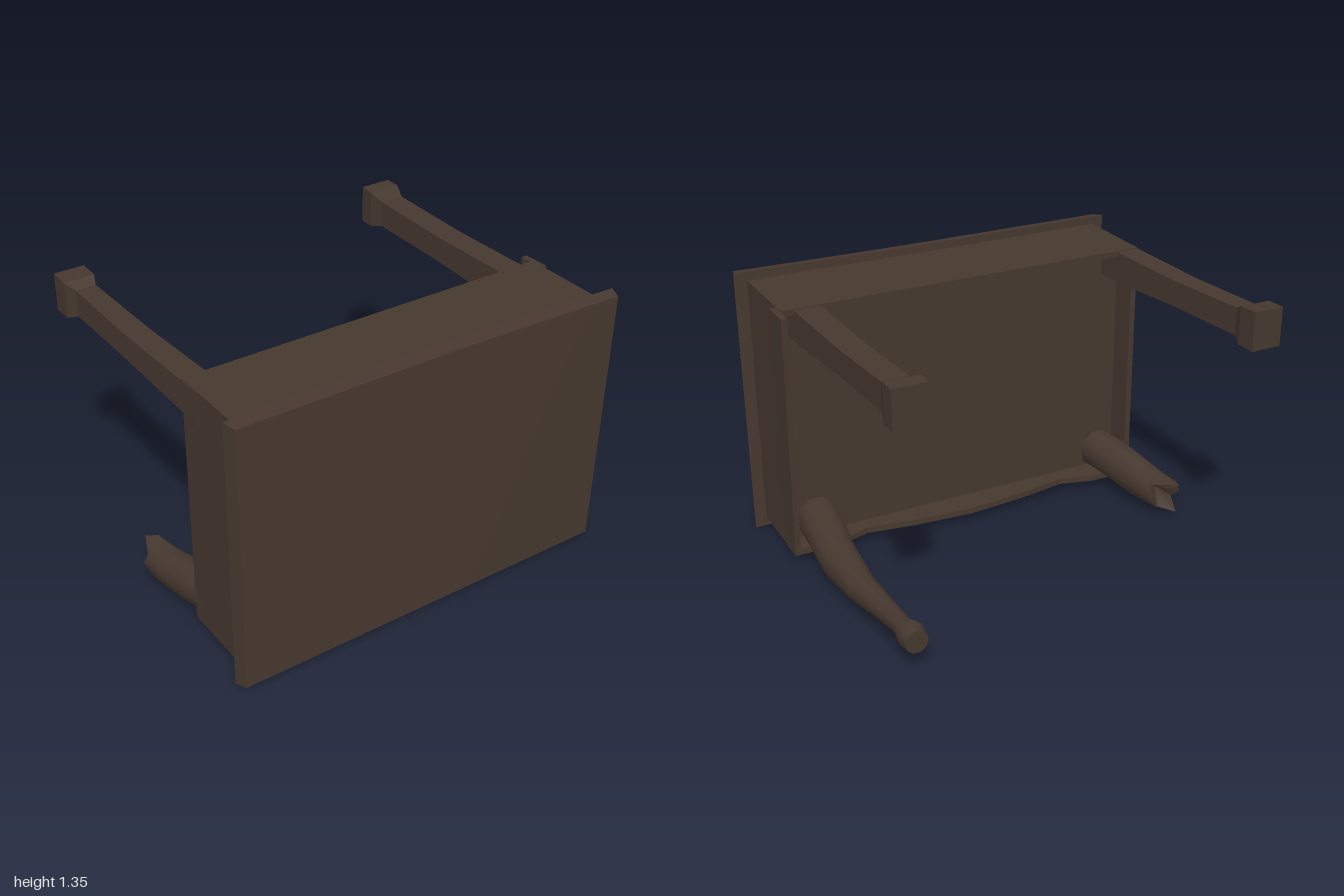
import * as THREE from 'three';
import { toCreasedNormals } from 'three/addons/utils/BufferGeometryUtils.js';

const wood = new THREE.MeshStandardMaterial({ color: 0x46382f });
wood.name = 'dark wood';

function add(group, geometry, name) {
  const mesh = new THREE.Mesh(geometry, wood);
  mesh.name = name;
  group.add(mesh);
  return mesh;
}

// Box given by its extents
function block(x0, x1, y0, y1, z0, z1) {
  return new THREE.BoxGeometry(x1 - x0, y1 - y0, z1 - z0)
    .translate((x0 + x1) / 2, (y0 + y1) / 2, (z0 + z1) / 2);
}

const shapeOf = (pts) => new THREE.Shape(pts.map(([a, b]) => new THREE.Vector2(a, b)));

// Outline in x and z, extruded between two heights
function slab(shape, y0, y1) {
  return new THREE.ExtrudeGeometry(shape, { depth: y1 - y0, bevelEnabled: false })
    .rotateX(Math.PI / 2).translate(0, y1, 0);
}

// Leg lofted through sections [z, centre x, centre y, half width, half height]
function leg(sections, sides, jag = () => 0, dent = 0) {
  const pos = [], index = [];
  const square = sides === 4, k = square ? Math.SQRT2 : 1, turn = square ? Math.PI / 4 : 0;
  sections.forEach(([z, cx, cy, hx, hy], i) => {
    for (let j = 0; j < sides; j++) {
      const a = turn + (j / sides) * Math.PI * 2;
      const dz = i === sections.length - 1 ? jag(j) : 0;
      pos.push(cx + Math.cos(a) * hx * k, cy + Math.sin(a) * hy * k, z + dz);
    }
  });
  const last = (sections.length - 1) * sides;
  for (let i = 0; i < sections.length - 1; i++) {
    for (let j = 0; j < sides; j++) {
      const a = i * sides + j, b = i * sides + (j + 1) % sides;
      index.push(a, a + sides, b, b, a + sides, b + sides);
    }
  }
  // End caps
  const tip = sections[sections.length - 1], root = sections[0];
  const c = pos.length / 3;
  pos.push(tip[1], tip[2], tip[0] + dent, root[1], root[2], root[0]);
  for (let j = 0; j < sides; j++) {
    const n = (j + 1) % sides;
    index.push(c, last + n, last + j, c + 1, j, n);
  }
  const g = new THREE.BufferGeometry();
  g.setAttribute('position', new THREE.Float32BufferAttribute(pos, 3));
  g.setIndex(index);
  return toCreasedNormals(g, square ? 0.2 : 0.75);
}

export function createModel() {
  const desk = new THREE.Group();
  desk.name = 'overturnedDesk';

  // Top board: bevelled towards the front, with one corner warped forward
  const top = new THREE.BoxGeometry(2, 1.345, 0.06, 10, 6, 1);
  const p = top.attributes.position;
  for (let i = 0; i < p.count; i++) {
    const x = p.getX(i), y = p.getY(i), z = p.getZ(i);
    const s = z > 0 ? 1 : 0;
    const warp = 0.03 * Math.max(0, x) ** 1.5 * (y / 1.345 + 0.5);
    p.setXYZ(i, x * (1 - 0.02 * s), y * (1 - 0.015 * s) + 0.6725, z + 0.74 + warp);
  }
  add(desk, toCreasedNormals(top, 0.4), 'topBoard');

  // Body with an empty drawer opening in its lower side
  const lower = shapeOf([[-0.94, 0.41], [0.94, 0.41], [0.94, 0.725], [-0.94, 0.725]]);
  lower.holes.push(shapeOf([[-0.7, 0.45], [-0.7, 0.62], [-0.1, 0.62], [-0.1, 0.45]]));
  add(desk, slab(lower, 0.04, 0.65), 'drawerCase');
  add(desk, block(-0.94, 0.94, 0.65, 1.305, 0.41, 0.725), 'bodyCase');

  // Rims around the underside
  add(desk, block(-0.94, 0.94, 1.275, 1.305, 0.275, 0.41), 'upperRim');
  add(desk, block(-0.94, -0.91, 0.04, 1.305, 0.275, 0.41), 'sideRim');
  const scallop = shapeOf([[-0.94, 0.41], [-0.94, 0.28], [-0.73, 0.28], [-0.55, 0.33], [-0.3, 0.29],
    [0, 0.265], [0.3, 0.29], [0.55, 0.33], [0.73, 0.28], [0.94, 0.29], [0.94, 0.41]]);
  add(desk, slab(scallop, 0.04, 0.07), 'scallopedRim');

  // Side rim torn loose, leaning away from the body
  const loose = new THREE.ExtrudeGeometry(
    shapeOf([[0.42, 0.04], [0.42, 0.2], [0.34, 1.3], [0.2, 1.295], [0.295, 0.035]]),
    { depth: 0.03, bevelEnabled: false }).rotateY(-Math.PI / 2).translate(0.942, 0, 0);
  const q = loose.attributes.position;
  for (let i = 0; i < q.count; i++) q.setX(i, q.getX(i) + 0.025 * q.getY(i) / 1.3);
  loose.computeVertexNormals();
  add(desk, loose, 'looseSideRim');

  // Square legs with flared feet
  add(desk, leg([
    [0.41, 0.815, 1.222, 0.066, 0.08], [0.2, 0.812, 1.222, 0.065, 0.075],
    [-0.2, 0.807, 1.232, 0.063, 0.063], [-0.65, 0.8, 1.245, 0.062, 0.066],
    [-0.72, 0.802, 1.25, 0.083, 0.092], [-0.8, 0.805, 1.25, 0.08, 0.093],
  ], 4), 'upperLeftLeg');
  add(desk, leg([
    [0.41, -0.88, 1.222, 0.062, 0.08], [0.2, -0.885, 1.222, 0.06, 0.075],
    [-0.2, -0.9, 1.232, 0.056, 0.063], [-0.65, -0.915, 1.245, 0.05, 0.066],
    [-0.7, -0.922, 1.248, 0.076, 0.09], [-0.8, -0.924, 1.25, 0.075, 0.093],
  ], 4), 'upperRightLeg');

  // Curved round leg
  add(desk, leg([
    [0.41, 0.78, 0.155, 0.105, 0.107], [0.28, 0.787, 0.147, 0.105, 0.105],
    [0.08, 0.81, 0.118, 0.095, 0.103], [0, 0.815, 0.113, 0.092, 0.098],
    [-0.24, 0.82, 0.115, 0.072, 0.072], [-0.45, 0.812, 0.135, 0.055, 0.056],
    [-0.66, 0.805, 0.153, 0.045, 0.042], [-0.73, 0.803, 0.155, 0.065, 0.066],
    [-0.795, 0.803, 0.153, 0.055, 0.057],
  ], 10), 'lowerLeftLeg');

  // Snapped leg with a splintered end
  add(desk, leg([
    [0.41, -0.825, 0.155, 0.1, 0.105], [0.28, -0.85, 0.147, 0.1, 0.105],
    [0.08, -0.88, 0.118, 0.092, 0.105], [0, -0.892, 0.11, 0.09, 0.095],
    [-0.13, -0.908, 0.11, 0.085, 0.085],
  ], 10, (j) => [0, 0.04, -0.05, -0.08, 0.02, 0, 0.05, -0.06, 0.03, -0.02][j], 0.1), 'brokenLeg');

  return desk;
}
